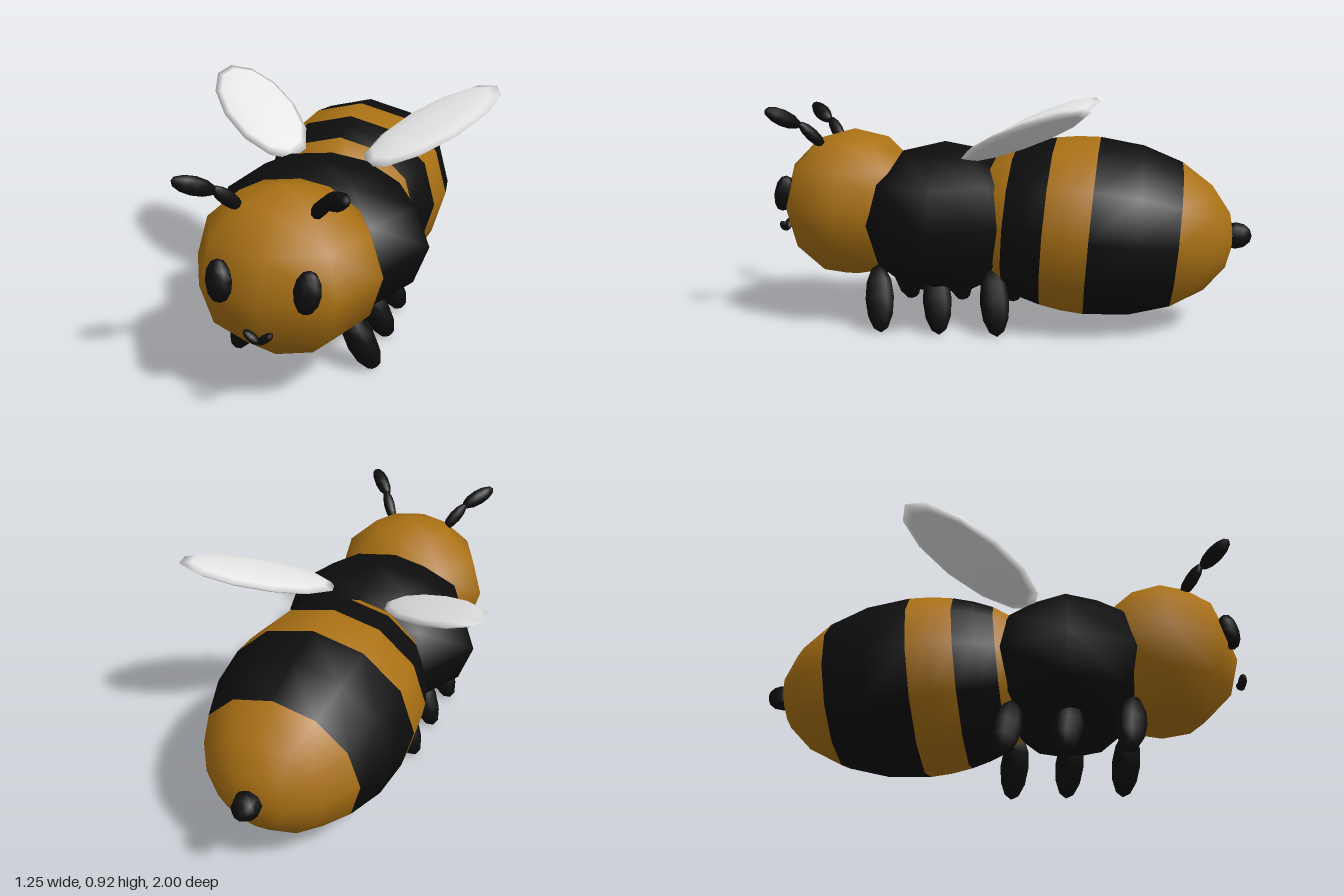
import * as THREE from 'three';

export function createModel() {
  const model = new THREE.Group();
  model.name = 'bee';
  const mat = (name, color) => {
    const m = new THREE.MeshStandardMaterial({ color });
    m.name = name;
    return m;
  };
  const amber = mat('amber', 0xaa7114);
  const black = mat('black', 0x0d0d0d);
  const white = mat('wingWhite', 0xeeeeee);

  // Low-sided smooth ellipsoid; its pole points along dir when given
  const blob = (name, material, pos, radii, dir, sides = 8, rings = 6) => {
    const mesh = new THREE.Mesh(new THREE.SphereGeometry(1, sides, rings), material);
    mesh.name = name;
    mesh.position.set(...pos);
    mesh.scale.set(...radii);
    if (dir) {
      mesh.quaternion.setFromUnitVectors(
        new THREE.Vector3(0, 1, 0), new THREE.Vector3(...dir).normalize());
    }
    model.add(mesh);
    return mesh;
  };

  // Head, thorax and stinger
  blob('head', amber, [0, 0.495, 0.66], [0.348, 0.315, 0.315]);
  blob('thorax', black, [0, 0.44, 0.27], [0.44, 0.32, 0.37]);
  blob('stinger', black, [0, 0.385, -0.935], [0.055, 0.065, 0.055], [0, 0, -1]);

  // Striped abdomen: bands of one ellipsoid, counted in rings from the tail
  const abdomen = new THREE.Group();
  abdomen.name = 'abdomen';
  abdomen.position.set(0, 0.41, -0.35);
  abdomen.rotation.x = -(Math.PI / 2 + 0.083);
  abdomen.scale.set(0.4, 0.58, 0.375);
  const step = Math.PI / 10;
  [[0, 3, amber], [3, 2, black], [5, 1, amber], [6, 1, black], [7, 3, amber]]
    .forEach(([start, count, material], i) => {
      const band = new THREE.Mesh(new THREE.SphereGeometry(
        1, 12, count, 0, Math.PI * 2, start * step, count * step), material);
      band.name = `abdomenBand${i + 1}`;
      abdomen.add(band);
    });
  model.add(abdomen);

  // Paired parts
  for (const [side, s] of [['left', 1], ['right', -1]]) {
    blob(`${side}Eye`, black, [s * 0.155, 0.548, 0.923],
      [0.049, 0.077, 0.042], [s * 0.1, 1, -0.2]);
    blob(`${side}Mouth`, black, [s * 0.024, 0.386, 0.98],
      [0.016, 0.035, 0.018], [s * 0.75, 0.6, 0]);

    // Two-piece antenna
    blob(`${side}AntennaStem`, black, [s * 0.163, 0.793, 0.793],
      [0.027, 0.075, 0.027], [s * 0.07, 0.1, 0.08]);
    blob(`${side}AntennaTip`, black, [s * 0.24, 0.865, 0.885],
      [0.034, 0.083, 0.034], [s * 0.11, 0.07, 0.11]);

    // Three legs splayed outwards
    ['front', 'middle', 'rear'].forEach((row, i) => {
      blob(`${side}${row[0].toUpperCase()}${row.slice(1)}Leg`, black,
        [s * 0.23, 0.133, [0.505, 0.265, 0.03][i]],
        [0.06, 0.142, 0.06], [s * -0.12, 0.27, 0.04]);
    });

    // Flat wing swept back and raised at the tip
    const wing = blob(`${side}Wing`, white, [s * 0.373, 0.81, -0.1],
      [0.345, 0.028, 0.16], null, 12, 6);
    const sweep = 0.82;
    wing.rotation.order = 'YZX';
    wing.rotation.set(0, s > 0 ? sweep : Math.PI - sweep, 0.34);
  }
  return model;
}
